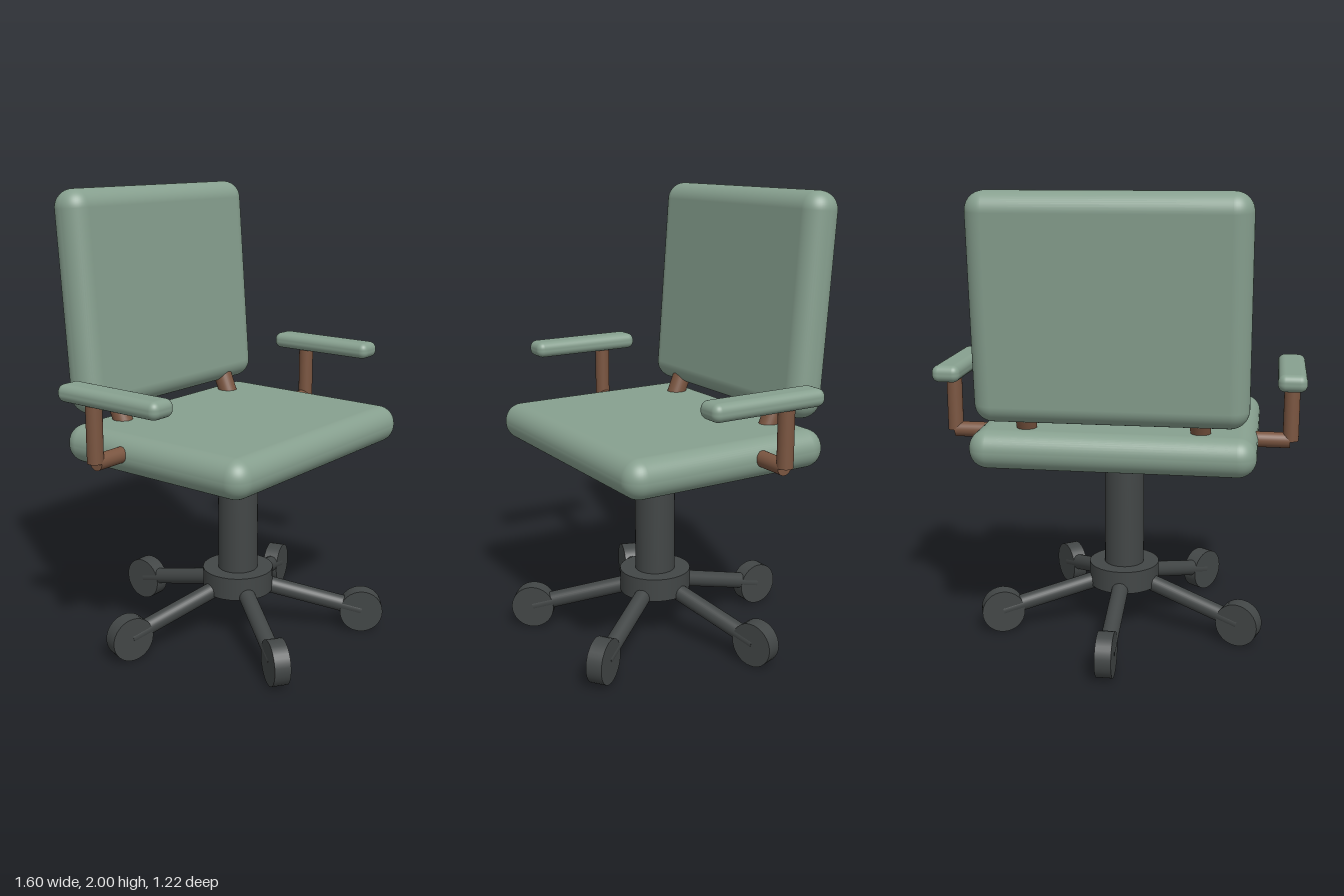
import * as THREE from 'three';
import { RoundedBoxGeometry } from 'three/addons/geometries/RoundedBoxGeometry.js';

const fabric = new THREE.MeshStandardMaterial({ color: 0x87a08f });
const wood = new THREE.MeshStandardMaterial({ color: 0x7a5540 });
const metal = new THREE.MeshStandardMaterial({ color: 0x424646 });

function add(parent, name, geometry, material, x = 0, y = 0, z = 0) {
  const mesh = new THREE.Mesh(geometry, material);
  mesh.name = name;
  mesh.position.set(x, y, z);
  parent.add(mesh);
  return mesh;
}

// Cylinder running between two points
function rod(parent, name, a, b, radius, material) {
  const from = new THREE.Vector3(...a), to = new THREE.Vector3(...b);
  const dir = to.clone().sub(from);
  const mesh = add(parent, name, new THREE.CylinderGeometry(radius, radius, dir.length(), 32), material);
  mesh.position.copy(from).add(to).multiplyScalar(0.5);
  mesh.quaternion.setFromUnitVectors(new THREE.Vector3(0, 1, 0), dir.normalize());
  return mesh;
}

export function createModel() {
  const chair = new THREE.Group();
  chair.name = 'officeChair';

  // Cushions
  add(chair, 'seat', new RoundedBoxGeometry(1.205, 0.167, 0.968, 6, 0.08), fabric, 0, 0.931, 0.047);
  const back = add(chair, 'backrest', new RoundedBoxGeometry(1.138, 0.947, 0.168, 6, 0.08), fabric, 0, 1.527, -0.395);
  back.rotation.x = -0.076;

  // Back supports and arms, mirrored
  for (const [side, s] of [['left', 1], ['right', -1]]) {
    rod(chair, side + 'BackSupport', [s * 0.367, 0.93, -0.264], [s * 0.367, 1.15, -0.354], 0.043, wood);
    const arm = new THREE.Group();
    arm.name = side + 'Arm';
    chair.add(arm);
    rod(arm, 'armBracket', [s * 0.56, 0.942, -0.092], [s * 0.738, 0.942, -0.092], 0.034, wood);
    rod(arm, 'armPost', [s * 0.74, 0.942, -0.092], [s * 0.74, 1.19, -0.092], 0.034, wood);
    add(arm, 'armrest', new RoundedBoxGeometry(0.123, 0.074, 0.533, 5, 0.032), fabric, s * 0.738, 1.217, 0.018);
  }

  // Pedestal
  const base = new THREE.Group();
  base.name = 'base';
  base.position.z = 0.055;
  chair.add(base);
  rod(base, 'column', [0, 0.25, 0], [0, 0.88, 0], 0.09, metal);
  rod(base, 'hub', [0, 0.197, 0], [0, 0.3, 0], 0.16, metal);

  // Five spokes, each ending in a wheel; the first points backwards
  for (let i = 0; i < 5; i++) {
    const leg = new THREE.Group();
    leg.name = 'leg' + (i + 1);
    leg.rotation.y = (i / 5) * Math.PI * 2;
    base.add(leg);
    rod(leg, 'spoke', [0, 0.25, 0], [0, 0.1, -0.567], 0.037, metal);
    rod(leg, 'wheel', [-0.035, 0.097, -0.567], [0.035, 0.097, -0.567], 0.097, metal);
  }
  return chair;
}
